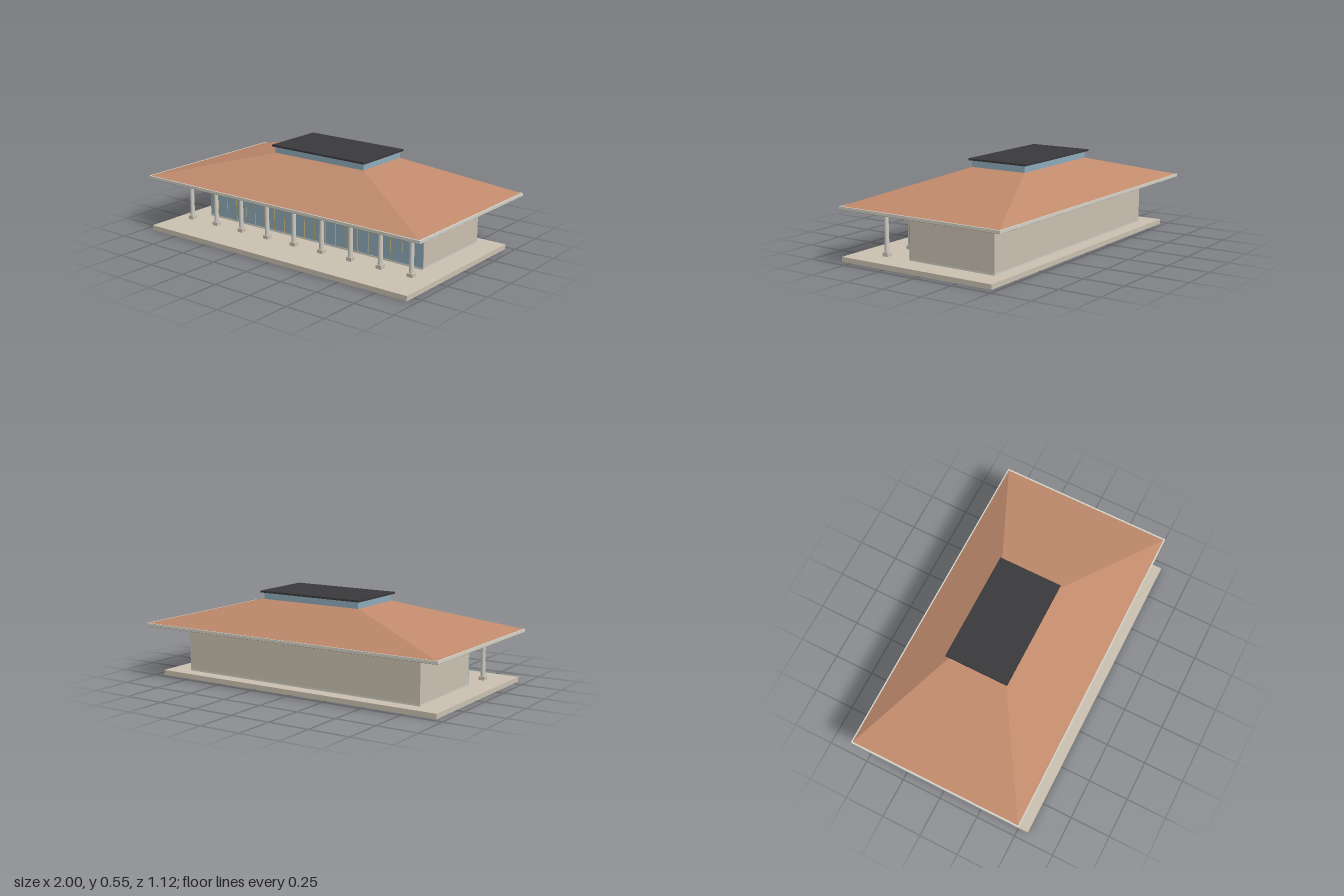
import * as THREE from 'three';

const mat = (color) => new THREE.MeshStandardMaterial({ color });
const STONE = mat(0xcac0b0), TRIM = mat(0xd2d2c8), GLASS = mat(0x8fabba), ROOF = mat(0xc08a6c);
const DARK = mat(0x3a3a3c), GOLD = mat(0xc2ab72), SOFFIT = mat(0x9c8060), COLUMN = mat(0xd0cdc6);

export function createModel() {
  const model = new THREE.Group();
  model.name = 'pavilion';

  // Box given by its extents on each axis
  const box = (name, material, x0, x1, y0, y1, z0, z1, parent = model) => {
    const mesh = new THREE.Mesh(new THREE.BoxGeometry(x1 - x0, y1 - y0, z1 - z0), material);
    mesh.position.set((x0 + x1) / 2, (y0 + y1) / 2, (z0 + z1) / 2);
    mesh.name = name;
    parent.add(mesh);
    return mesh;
  };

  // Terrace and enclosed hall
  box('terrace', STONE, -0.95, 0.95, 0, 0.03, -0.47, 0.562);
  box('floorSlab', TRIM, -0.805, 0.805, 0.03, 0.04, -0.388, 0.192);
  box('hallWalls', STONE, -0.805, 0.805, 0.04, 0.315, -0.388, 0.184);

  // Glazed front with mullions and a transom
  box('frontGlazing', GLASS, -0.805, 0.805, 0.04, 0.315, 0.184, 0.19);
  const frame = new THREE.Group();
  frame.name = 'windowFrame';
  for (let i = 0; i < 20; i++) {
    const x = -0.74 + (i * 1.48) / 19;
    box('mullion', GOLD, x - 0.003, x + 0.003, 0.04, 0.315, 0.184, 0.192, frame);
  }
  box('transom', GOLD, -0.805, 0.805, 0.222, 0.232, 0.184, 0.195, frame);
  model.add(frame);

  // Colonnade
  const shaft = new THREE.CylinderGeometry(0.012, 0.014, 0.253, 20);
  for (let i = 0; i < 9; i++) {
    const column = new THREE.Group();
    column.name = 'column';
    column.position.set(-0.825 + i * 0.20625, 0, 0.335);
    const body = new THREE.Mesh(shaft, COLUMN);
    body.name = 'columnShaft';
    body.position.y = 0.1885;
    column.add(body);
    box('columnBase', STONE, -0.018, 0.018, 0.04, 0.062, -0.018, 0.018, column);
    box('columnCapital', STONE, -0.019, 0.019, 0.291, 0.306, -0.019, 0.019, column);
    model.add(column);
  }

  // Eaves
  box('soffit', SOFFIT, -0.998, 0.998, 0.314, 0.318, -0.558, 0.525);
  box('fascia', TRIM, -1, 1, 0.316, 0.333, -0.56, 0.527);

  // Hipped roof: a box whose upper corners are drawn inwards
  const hip = new THREE.BoxGeometry(2, 0.167, 1.087);
  const p = hip.attributes.position;
  for (let i = 0; i < p.count; i++) {
    const top = p.getY(i) > 0;
    const x = Math.sign(p.getX(i)) * (top ? 0.33 : 0.99);
    const z = p.getZ(i) > 0 ? (top ? 0.105 : 0.518) : (top ? -0.26 : -0.552);
    p.setXYZ(i, x, top ? 0.5 : 0.333, z);
  }
  hip.computeVertexNormals();
  const roof = new THREE.Mesh(hip, ROOF);
  roof.name = 'hippedRoof';
  model.add(roof);

  // Roof lantern
  box('lanternGlazing', GLASS, -0.33, 0.33, 0.5, 0.541, -0.26, 0.105);
  box('lanternCap', DARK, -0.345, 0.345, 0.54, 0.551, -0.277, 0.12);

  return model;
}
